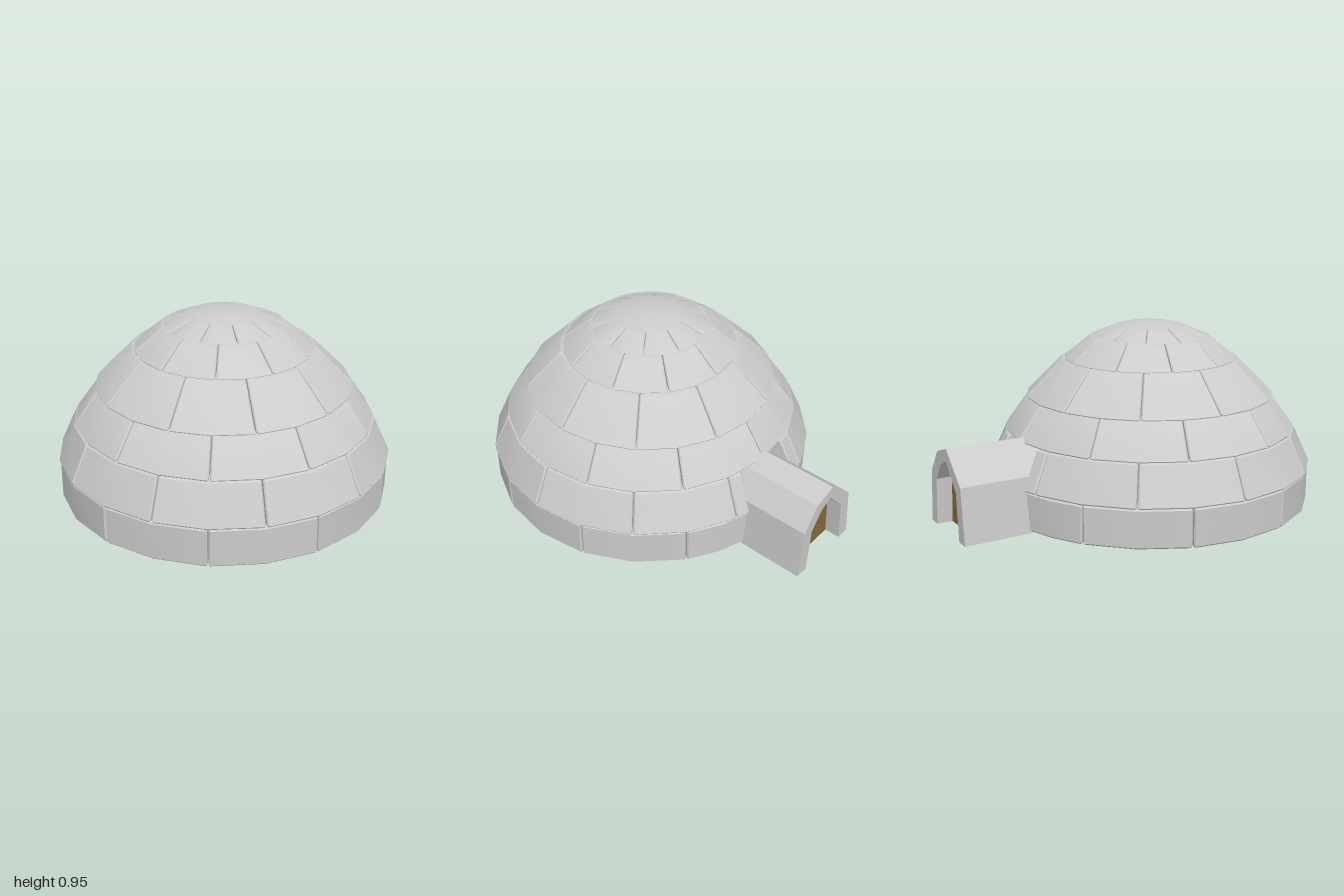
import * as THREE from 'three';
import { toCreasedNormals } from 'three/addons/utils/BufferGeometryUtils.js';

const CZ = 0.155, RAD = Math.PI / 180;
const grey = new THREE.MeshStandardMaterial({ color: 0xcccccc });
const brown = new THREE.MeshStandardMaterial({ color: 0x8a6a38 });

// Chamfered cross-section [radius, height] of a course, drawn in by s at block ends
function section([y0, y1, r0, r1, t], s) {
  const b = 0.007;
  const corner = (u, v) => {
    const r = r0 + (r1 - r0) * v, y = y0 + (y1 - y0) * v;
    return [r - t * u, y];
  };
  const h = Math.hypot(y1 - y0, r1 - r0), du = s / t, dv = s / h, bu = b / t, bv = b / h;
  return [[du + bu, dv], [du, dv + bv], [du, 1 - dv - bv], [du + bu, 1 - dv],
    [1 - du - bu, 1 - dv], [1 - du, 1 - dv - bv], [1 - du, dv + bv], [1 - du - bu, dv]]
    .map(([u, v]) => corner(u, v));
}

// One wall block swept from angle a0 to a1 (0 = front, towards +x)
function blockGeometry(row, a0, a1, segments) {
  const gap = 0.003 / row[2], e = 0.007 / row[2];
  const from = a0 + gap, to = a1 - gap;
  const stations = [[from, 0.007]];
  for (let i = 0; i <= segments; i++) {
    stations.push([from + e + (to - from - 2 * e) * i / segments, 0]);
  }
  stations.push([to, 0.007]);
  const pos = [], idx = [], n = 8;
  for (const [a, s] of stations) {
    for (const [r, y] of section(row, s)) pos.push(r * Math.sin(a), y, r * Math.cos(a) + CZ);
  }
  for (let i = 0; i < stations.length - 1; i++) {
    for (let j = 0; j < n; j++) {
      const a = i * n + j, b = i * n + (j + 1) % n;
      idx.push(a, a + n, b, b, a + n, b + n);
    }
  }
  const last = (stations.length - 1) * n;
  for (let j = 1; j < n - 1; j++) {
    idx.push(0, j, j + 1, last, last + j + 1, last + j);
  }
  const g = new THREE.BufferGeometry();
  g.setAttribute('position', new THREE.Float32BufferAttribute(pos, 3));
  g.setIndex(idx);
  return toCreasedNormals(g, 0.5);
}

// Extrude an arch outline along z
function archGeometry(outer, inner, z, depth) {
  const points = inner ? outer.concat([...inner].reverse()) : outer;
  const shape = new THREE.Shape(points.map(([x, y]) => new THREE.Vector2(x, y)));
  return new THREE.ExtrudeGeometry(shape, { depth, bevelEnabled: false }).translate(0, 0, z);
}

export function createModel() {
  const model = new THREE.Group();
  const add = (parent, name, geometry, material = grey) => {
    const mesh = new THREE.Mesh(geometry, material);
    mesh.name = name;
    parent.add(mesh);
  };

  // Courses: bottom y, top y, bottom radius, top radius, wall thickness
  const courses = [
    [0.01, 0.203, 0.845, 0.845, 0.12],
    [0.207, 0.402, 0.855, 0.765, 0.12],
    [0.402, 0.575, 0.765, 0.64, 0.12],
    [0.573, 0.762, 0.655, 0.465, 0.12],
    [0.76, 0.878, 0.455, 0.31, 0.11],
    [0.875, 0.932, 0.305, 0.175, 0.1],
  ];
  courses.forEach((row, k) => {
    const course = new THREE.Group();
    course.name = 'blockCourse' + (k + 1);
    const offset = k % 2 ? 18 : 0;
    for (let i = 0; i < 10; i++) {
      const a = offset + i * 36, b = a + 36;
      // The two lowest courses stop at the doorway
      const spans = k < 2
        ? [[a, Math.min(b, 168)], [Math.max(a, 192), b]].filter(([p, q]) => q - p > 1)
        : [[a, b]];
      for (const [p, q] of spans) {
        add(course, 'wallBlock', blockGeometry(row, p * RAD, q * RAD, q - p > 20 ? 2 : 1));
      }
    }
    model.add(course);
  });

  // Rounded stone closing the top
  const capProfile = [[0, 0.9], [0.165, 0.9], [0.175, 0.93], [0.13, 0.941], [0.07, 0.949], [0, 0.952]]
    .map(([x, y]) => new THREE.Vector2(x, y));
  add(model, 'topCap', toCreasedNormals(new THREE.LatheGeometry(capProfile, 20).translate(0, 0, CZ), 0.5));

  // Entrance tunnel and the door set inside it
  const outer = [[0.215, 0], [0.19, 0.27], [0.1, 0.39], [-0.02, 0.43], [-0.185, 0.28], [-0.215, 0]];
  const inner = [[0.145, 0], [0.128, 0.24], [0.06, 0.33], [-0.01, 0.365], [-0.125, 0.24], [-0.145, 0]];
  add(model, 'entranceTunnel', archGeometry(outer, inner, -1, 0.72));
  add(model, 'door', archGeometry(inner, null, -0.92, 0.26), brown);
  return model;
}
